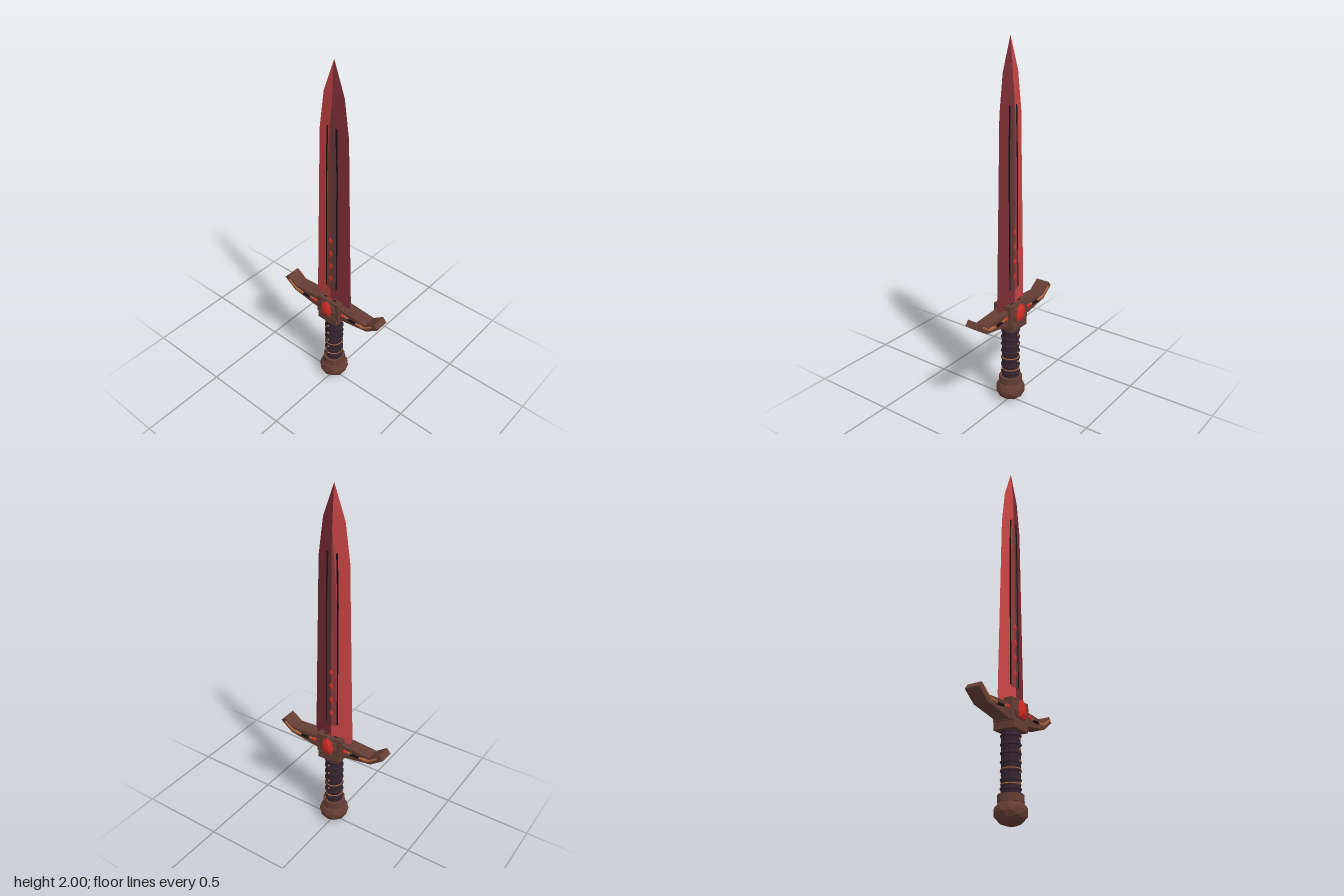
import * as THREE from 'three';

const mat = (name, color) => new THREE.MeshStandardMaterial({ name, color });

// Flat facets: unshared vertices with face normals
function flat(geo) {
  const g = geo.index ? geo.toNonIndexed() : geo;
  g.computeVertexNormals();
  return g;
}

// Joins closed cross-sections [[x, z], ...] (turning from +x to +z) stacked at heights y
function loft(sections) {
  const n = sections[0].pts.length, pos = [], idx = [];
  sections.forEach(s => s.pts.forEach(([x, z]) => pos.push(x, s.y, z)));
  for (let i = 0; i < sections.length - 1; i++) {
    for (let j = 0; j < n; j++) {
      const a = i * n + j, b = i * n + (j + 1) % n;
      idx.push(a, a + n, b, b, a + n, b + n);
    }
  }
  const top = (sections.length - 1) * n;
  for (let j = 1; j < n - 1; j++) {
    idx.push(0, j, j + 1);
    idx.push(top, top + j + 1, top + j);
  }
  const g = new THREE.BufferGeometry();
  g.setAttribute('position', new THREE.Float32BufferAttribute(pos, 3));
  g.setIndex(idx);
  return flat(g);
}

// Blade outline: height, half width, half thickness
const BLADE = [[0.56, 0.108, 0.03], [0.62, 0.119, 0.03], [1.63, 0.091, 0.022], [1.83, 0.063, 0.015], [2, 0.0005, 0.0005]];

// Half thickness of the blade at height y and distance x from its middle
function bladeDepth(y, x) {
  let i = 0;
  while (i < BLADE.length - 2 && y > BLADE[i + 1][0]) i++;
  const [a, b] = [BLADE[i], BLADE[i + 1]];
  const t = (y - a[0]) / (b[0] - a[0]);
  const w = a[1] + (b[1] - a[1]) * t;
  return (a[2] + (b[2] - a[2]) * t) * (1 - x / w);
}

export function createModel() {
  const group = new THREE.Group();
  const red = mat('bladeRed', 0xcc4646);
  const darkRed = mat('bladeDarkRed', 0x7a2c34);
  const fullerRed = mat('fullerRed', 0x8f3b3d);
  const fullerBrown = mat('fullerBrown', 0x5c3635);
  const black = mat('grooveBlack', 0x1a1214);
  const bronze = mat('darkBronze', 0x643d34);
  const copper = mat('copper', 0xb0673f);
  const leather = mat('gripLeather', 0x35242f);
  const gemRed = mat('gemRed', 0xd42e24);

  const add = (name, geo, material, x = 0, y = 0, z = 0) => {
    const m = new THREE.Mesh(geo, material);
    m.name = name;
    m.position.set(x, y, z);
    group.add(m);
    return m;
  };
  const box = (name, w, h, d, material, x, y, z) => add(name, new THREE.BoxGeometry(w, h, d), material, x, y, z);

  for (const s of [-1, 1]) {
    // Diamond-section blade in two tones, split down the ridge
    add('bladeHalf', loft(BLADE.map(([y, w, t]) => ({ y, pts: [[0, -s * t], [s * w, 0], [0, s * t]] }))), s < 0 ? red : darkRed);

    // Central fuller panel hugging both faces
    add('fullerHalf', loft([[0.68, 0.032], [1.4, 0.028], [1.63, 0.014], [1.77, 0.001]].map(([y, w]) => {
      const z0 = s * (bladeDepth(y, 0) + 0.0015), z1 = s * (bladeDepth(y, w) + 0.0015);
      return { y, pts: [[0, -z0], [s * w, -z1], [s * w, z1], [0, z0]] };
    })), s < 0 ? fullerRed : fullerBrown);

    // Thin dark grooves beside the fuller
    add('bladeGroove', loft([[0.69, 0.035, 0.0025], [1.4, 0.034, 0.003], [1.67, 0.027, 0.004]].map(([y, x, w]) => {
      const c = s * x, z = bladeDepth(y, x) + 0.004;
      return { y, pts: [[c + w, -z], [c + w, z], [c - w, z], [c - w, -z]] };
    })), black);
  }

  // Rune diamonds on the blade and paired slots at its root
  for (const f of [-1, 1]) {
    for (const y of [0.755, 0.84, 0.925, 1.01]) {
      const rune = add('bladeRune', flat(new THREE.OctahedronGeometry(1)), gemRed, 0, y, f * 0.029);
      rune.scale.set(0.014, 0.026, 0.007);
    }
    box('rootInlay', 0.024, 0.004, 0.004, gemRed, 0, 0.611, f * 0.033);
    for (const s of [-1, 1]) box('rootSlot', 0.018, 0.004, 0.005, black, s * 0.032, 0.611, f * 0.033);
  }

  // Guard block and collar
  box('guardBlock', 0.152, 0.115, 0.11, bronze, 0, 0.5525, 0);
  box('guardCollar', 0.13, 0.045, 0.12, bronze, 0, 0.48, 0);

  // Upswept guard arms with inlays on both faces
  for (const s of [-1, 1]) {
    const outline = [[0.06, 0.498], [0.15, 0.512], [0.26, 0.53], [0.335, 0.585], [0.312, 0.613], [0.25, 0.567], [0.09, 0.578], [0.06, 0.59]];
    const shape = new THREE.Shape(outline.map(([x, y]) => new THREE.Vector2(s * x, y)));
    const arm = new THREE.ExtrudeGeometry(shape, { depth: 0.08, bevelEnabled: false });
    arm.translate(0, 0, -0.04);
    add('guardArm', flat(arm), bronze);

    for (const f of [-1, 1]) {
      const trim = (name, pts, r, m) => {
        const path = new THREE.CurvePath();
        const v = pts.map(([x, y]) => new THREE.Vector3(s * x, y, f * 0.044));
        for (let i = 0; i < v.length - 1; i++) path.add(new THREE.LineCurve3(v[i], v[i + 1]));
        add(name, new THREE.TubeGeometry(path, 12, r, 6), m);
      };
      trim('copperTrim', [[0.09, 0.553], [0.17, 0.545], [0.25, 0.55], [0.302, 0.59]], 0.006, copper);
      trim('darkInlay', [[0.135, 0.547], [0.16, 0.545], [0.19, 0.545]], 0.0075, black);

      const band = add('trimBand', new THREE.CylinderGeometry(0.009, 0.009, 0.022, 8), copper, s * 0.226, 0.548, f * 0.042);
      band.rotation.z = Math.PI / 2;
      const bead = add('guardBead', flat(new THREE.IcosahedronGeometry(1, 1)), gemRed, s * 0.1, 0.552, f * 0.048);
      bead.scale.set(0.013, 0.012, 0.008);
    }
  }

  // Faceted centre gem in a raised setting, front and back
  const gemOutline = [[0, 0.054], [0.03, 0.03], [0.037, -0.01], [0.026, -0.044], [-0.026, -0.044], [-0.037, -0.01], [-0.03, 0.03]];
  const gemStack = layers => loft(layers.map(([y, kx, ky]) => ({ y, pts: gemOutline.map(([a, b]) => [a * kx, -b * ky]) }))).rotateX(Math.PI / 2);
  const settingGeo = gemStack([[0.05, 1.55, 1.02], [0.06, 1.5, 1], [0.066, 1.1, 0.95]]);
  const gemGeo = gemStack([[0.055, 1.05, 1], [0.07, 1, 0.97], [0.079, 0.6, 0.6], [0.083, 0.08, 0.08]]);
  for (const turn of [0, Math.PI]) {
    add('gemSetting', settingGeo, bronze, 0, 0.557, 0).rotation.y = turn;
    add('centreGem', gemGeo, gemRed, 0, 0.557, 0).rotation.y = turn;
  }

  // Leather grip with wrapped ridges, copper rings and studs
  add('grip', flat(new THREE.CylinderGeometry(0.048, 0.048, 0.33, 12)), leather, 0, 0.3, 0);
  for (let i = 0; i < 7; i++) {
    const ridge = add('gripWrap', new THREE.TorusGeometry(0.046, 0.008, 6, 14), leather, 0, 0.175 + i * 0.043, 0);
    ridge.rotation.x = Math.PI / 2;
  }
  for (const y of [0.197, 0.27, 0.39]) {
    add('gripRing', new THREE.TorusGeometry(0.0485, 0.003, 6, 16), copper, 0, y, 0).rotation.x = Math.PI / 2;
  }
  for (const f of [-1, 1]) {
    for (const y of [0.2, 0.25, 0.305, 0.36, 0.415]) {
      add('gripStud', flat(new THREE.OctahedronGeometry(0.008)), copper, 0, y, f * 0.052);
    }
  }

  // Pommel collar and faceted ball
  add('pommelCollar', flat(new THREE.CylinderGeometry(0.064, 0.066, 0.04, 10)), bronze, 0, 0.13, 0);
  const ball = add('pommel', flat(new THREE.IcosahedronGeometry(0.084, 1)), bronze, 0, 0.067, 0);
  ball.scale.y = 0.8;

  return group;
}
